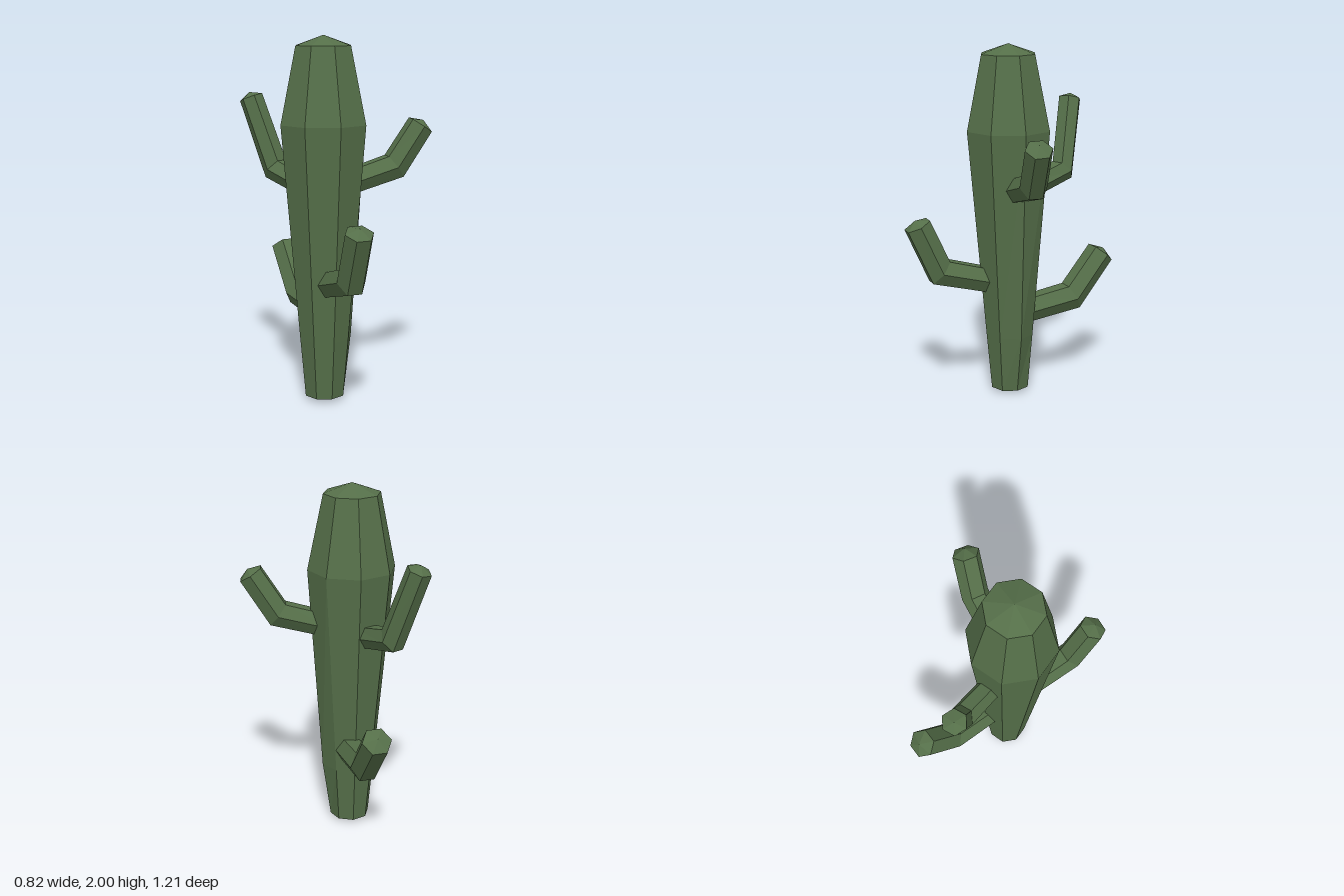
import * as THREE from 'three';

// Skin a list of rings (lower to upper), closed by a point at each end
function loft(rings, start, end) {
  const pos = [];
  const tri = (...pts) => pts.forEach((p) => pos.push(p.x, p.y, p.z));
  const n = rings[0].length;
  const last = rings[rings.length - 1];
  for (let k = 0; k < n; k++) {
    const j = (k + 1) % n;
    tri(start, rings[0][j], rings[0][k]);
    for (let i = 0; i < rings.length - 1; i++) {
      const a = rings[i], b = rings[i + 1];
      tri(a[k], a[j], b[j]);
      tri(a[k], b[j], b[k]);
    }
    tri(last[k], last[j], end);
  }
  const geo = new THREE.BufferGeometry();
  geo.setAttribute('position', new THREE.Float32BufferAttribute(pos, 3));
  geo.computeVertexNormals();
  return geo;
}

// Regular ring around a centre, spanned by two axes
function ring(center, u, v, ru, rv, sides, phase) {
  return Array.from({ length: sides }, (_, k) => {
    const a = phase + (k / sides) * Math.PI * 2;
    return center.clone().addScaledVector(u, Math.cos(a) * ru).addScaledVector(v, Math.sin(a) * rv);
  });
}

// Bent six-sided arm: root, elbow, tip and a shallow pointed cap
function armGeometry(points, r) {
  const [root, elbow, tip] = points.map((p) => new THREE.Vector3(...p));
  const d1 = elbow.clone().sub(root).normalize();
  const d2 = tip.clone().sub(elbow).normalize();
  const mid = d1.clone().add(d2).normalize();
  const up = new THREE.Vector3(0, 1, 0);
  const section = (c, t, radius, stretch) => {
    const side = new THREE.Vector3().crossVectors(up, tip.clone().sub(root).setY(0)).normalize();
    const v = new THREE.Vector3().crossVectors(t, side).normalize();
    const u = new THREE.Vector3().crossVectors(v, t).normalize();
    return ring(c, u, v, radius, radius * stretch, 6, 0);
  };
  const rings = [
    section(root, d1, r * 0.95, 1),
    section(elbow, mid, r, 1 / mid.dot(d1)),
    section(tip, d2, r * 0.98, 1),
  ];
  return loft(rings, root, tip.clone().addScaledVector(d2, 0.03));
}

export function createModel() {
  const green = new THREE.MeshStandardMaterial({ color: 0x556f49, flatShading: true });
  green.name = 'cactus green';
  const group = new THREE.Group();
  group.name = 'cactus';
  const add = (name, geo) => {
    const mesh = new THREE.Mesh(geo, green);
    mesh.name = name;
    group.add(mesh);
  };

  // Eight-sided trunk, widest at the shoulder
  const cx = -0.167, cz = 0.032;
  const X = new THREE.Vector3(1, 0, 0), back = new THREE.Vector3(0, 0, -1);
  const at = (y) => new THREE.Vector3(cx, y, cz);
  const trunkRings = [[0.02, 0.112], [0.35, 0.142], [1.53, 0.245], [1.945, 0.158]].map(
    ([y, r]) => ring(at(y), X, back, r, r, 8, -0.28));
  trunkRings[1][0].x += 0.02; // slight bulge low on the left side
  add('trunk', loft(trunkRings, at(0), at(2)));

  // Arms
  add('leftArm', armGeometry([[-0.05, 1.205, 0.08], [0.215, 1.285, 0.17], [0.343, 1.51, 0.24]], 0.077));
  add('frontArm', armGeometry([[-0.2, 0.66, 0.1], [-0.295, 0.755, 0.425], [-0.335, 1.03, 0.54]], 0.08));
  add('lowerBackArm', armGeometry([[-0.12, 0.48, -0.03], [-0.06, 0.515, -0.345], [-0.02, 0.755, -0.54]], 0.084));
  add('upperBackArm', armGeometry([[-0.17, 1.16, -0.05], [-0.19, 1.245, -0.385], [-0.268, 1.645, -0.508]], 0.069));
  return group;
}
